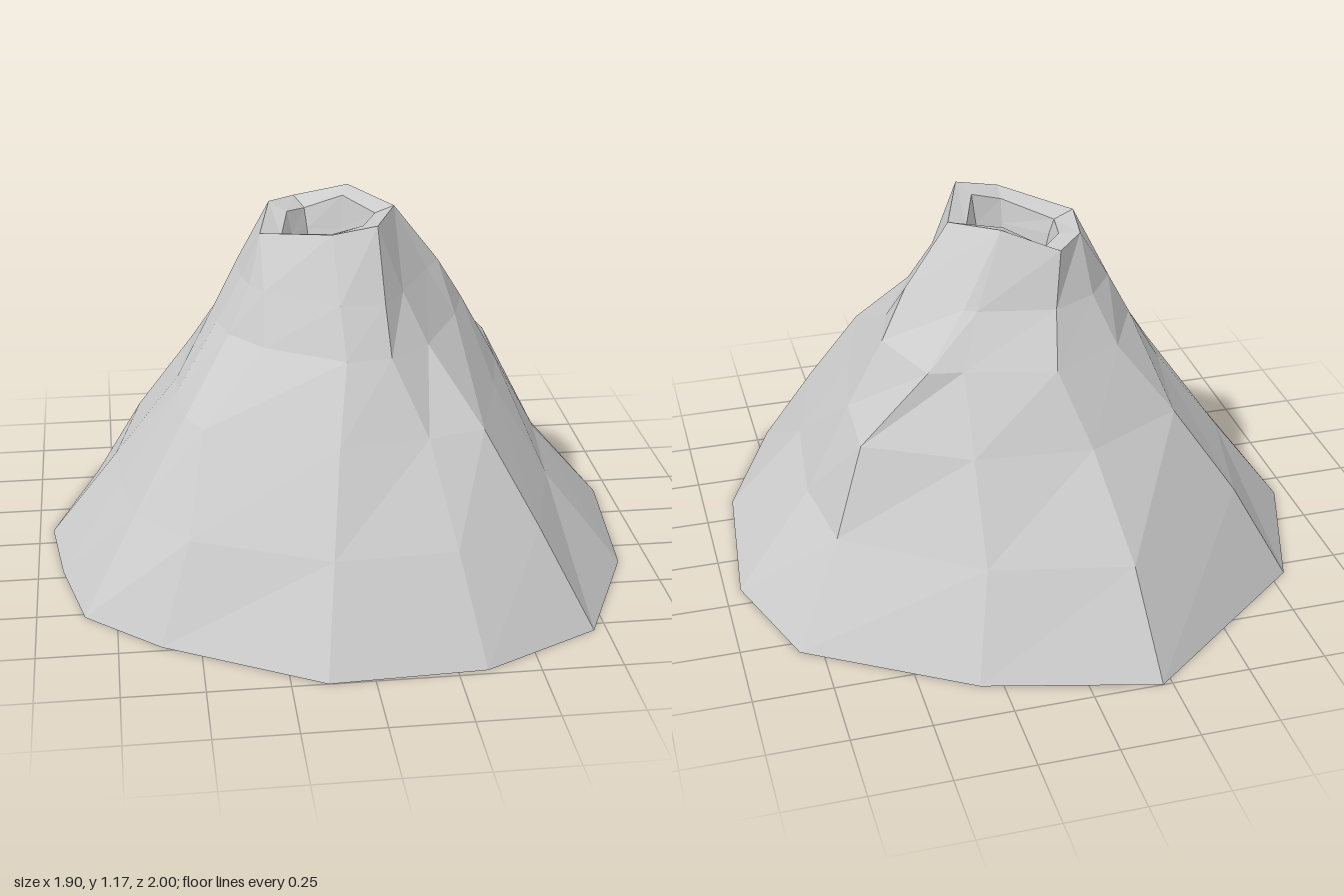
import * as THREE from 'three';

// Horizontal cross-sections [x, z], running back -> +x -> front -> -x
const base = [[-0.22, -1], [0.32, -0.86], [0.82, -0.55], [0.95, -0.17], [0.9, 0.36], [0.71, 0.79], [0.34, 0.98],
  [-0.14, 1], [-0.62, 0.73], [-0.85, 0.52], [-0.92, 0.21], [-0.955, -0.09], [-0.8, -0.55]];
const foot = [[-0.19, -0.79], [0.25, -0.69], [0.66, -0.4], [0.7, -0.1], [0.66, 0.28], [0.555, 0.66], [0.28, 0.79],
  [-0.1, 0.81], [-0.52, 0.62], [-0.68, 0.42], [-0.72, 0.17], [-0.73, -0.05], [-0.64, -0.46]];
const middle = [[-0.13, -0.54], [0.24, -0.5], [0.56, -0.33], [0.55, -0.07], [0.5, 0.18], [0.4, 0.53], [0.22, 0.58],
  [-0.06, 0.62], [-0.46, 0.43], [-0.51, 0.32], [-0.53, 0.13], [-0.52, -0.01], [-0.45, -0.38]];
const shoulder = [[-0.05, -0.41], [0.23, -0.34], [0.34, -0.32], [0.43, -0.07], [0.38, 0.1], [0.25, 0.35], [0.12, 0.46],
  [-0.02, 0.47], [-0.26, 0.32], [-0.36, 0.19], [-0.39, 0.07], [-0.39, -0.08], [-0.28, -0.3]];
const neck = [[-0.08, -0.29], [0.16, -0.24], [0.2, -0.22], [0.34, -0.02], [0.29, 0.06], [0.18, 0.28], [0.11, 0.38],
  [-0.03, 0.385], [-0.25, 0.23], [-0.29, 0.16], [-0.31, 0.08], [-0.31, -0.1], [-0.22, -0.22]];

// Seven-sided uneven crater rim [x, y, z] and the rim corner each slope column meets
const rim = [[-0.11, 1.12, -0.23], [0.06, 1.175, -0.15], [0.19, 1.147, 0.01], [0.1, 1.165, 0.27],
  [-0.04, 1.14, 0.265], [-0.25, 1.1, 0.1], [-0.2, 1.13, -0.14]];
const rimColumn = [0, 1, 1, 2, 2, 3, 3, 4, 5, 5, 5, 6, 6];

const level = (ring, y) => ring.map(([x, z]) => new THREE.Vector3(x, y, z));
const rimRing = rim.map((p) => new THREE.Vector3(...p));

// Rim shrunk about the crater axis; flatten blends its height towards y
function craterRing(scale, y, flatten) {
  return rimRing.map((p) => new THREE.Vector3(
    -0.02 + (p.x + 0.02) * scale,
    THREE.MathUtils.lerp(p.y - 0.02, y, flatten),
    0.04 + (p.z - 0.04) * scale));
}

// Triangles between successive rings, skipping collapsed ones
function loft(rings) {
  const out = [];
  const add = (a, b, c) => {
    if (!a.equals(b) && !b.equals(c) && !c.equals(a)) out.push(a, b, c);
  };
  for (let r = 0; r < rings.length - 1; r++) {
    const low = rings[r], high = rings[r + 1], n = low.length;
    for (let i = 0; i < n; i++) {
      const j = (i + 1) % n;
      add(low[j], low[i], high[i]);
      add(low[j], high[i], high[j]);
    }
  }
  return out;
}

// Fan across a ring, facing up or down
function cap(ring, up) {
  const centre = ring.reduce((s, p) => s.add(p), new THREE.Vector3()).divideScalar(ring.length);
  return ring.flatMap((p, i) => {
    const q = ring[(i + 1) % ring.length];
    return up ? [centre, q, p] : [centre, p, q];
  });
}

export function createModel() {
  const group = new THREE.Group();
  group.name = 'volcano';
  const material = new THREE.MeshStandardMaterial({ color: 0xcccccc, flatShading: true });
  const addPart = (name, points) => {
    const geometry = new THREE.BufferGeometry().setFromPoints(points);
    geometry.computeVertexNormals();
    const mesh = new THREE.Mesh(geometry, material);
    mesh.name = name;
    group.add(mesh);
  };

  // Rocky outer slopes and flat underside
  const ground = level(base, 0);
  addPart('slopes', loft([ground, level(foot, 0.3), level(middle, 0.58), level(shoulder, 0.8),
    level(neck, 0.95), rimColumn.map((i) => rimRing[i])]));
  addPart('underside', cap(ground, false));

  // Crater lip, stepped inner wall and floor
  const lip = craterRing(0.7, 0, 0);
  const ledge = craterRing(0.62, 1.02, 0.8);
  const floor = craterRing(0.5, 0.92, 1);
  addPart('craterLip', loft([rimRing, lip]));
  addPart('craterWall', loft([lip, ledge, floor]));
  addPart('craterFloor', cap(floor, true));
  return group;
}
